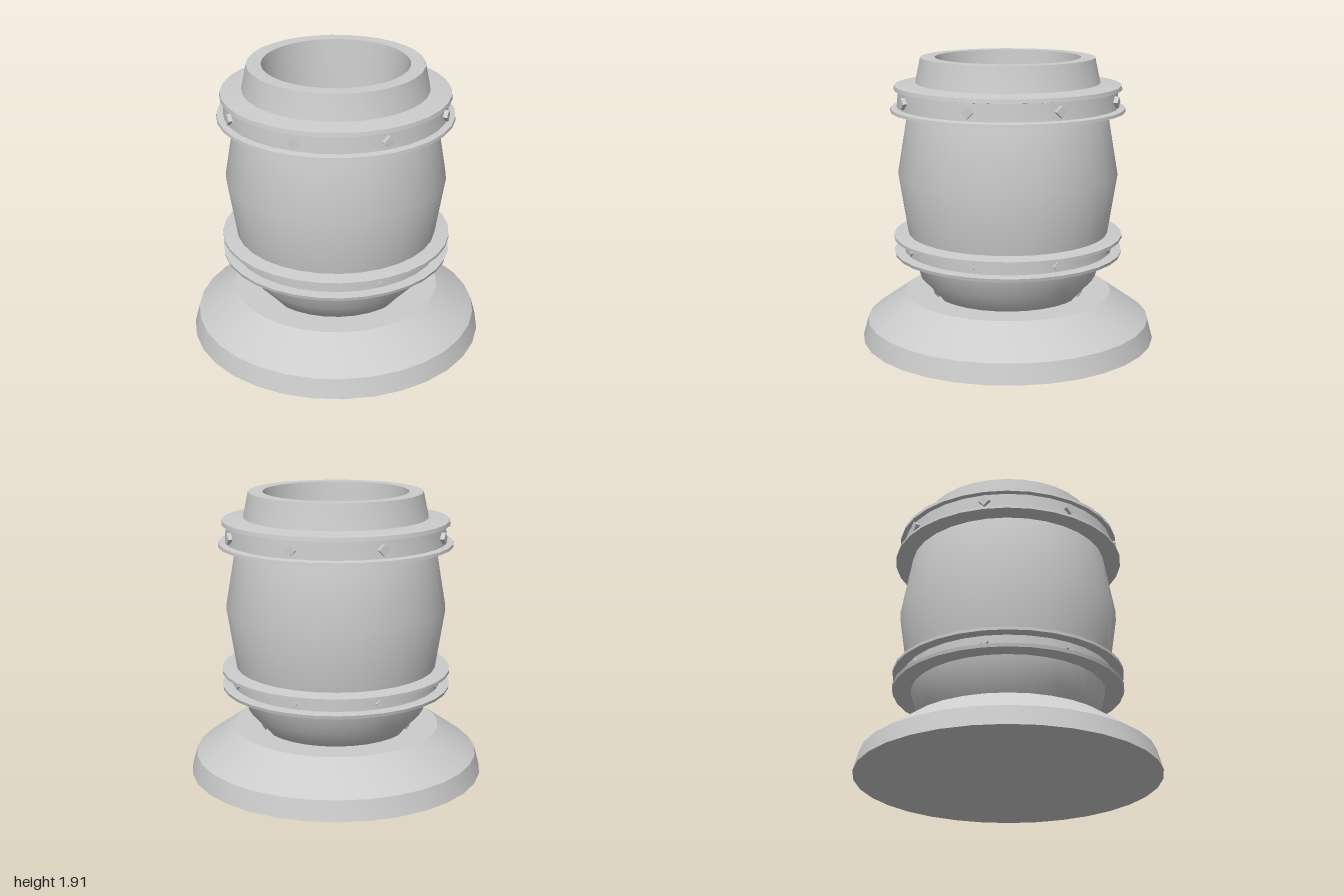
import * as THREE from 'three';
import { toCreasedNormals } from 'three/addons/utils/BufferGeometryUtils.js';

const SEGMENTS = 32;
const material = new THREE.MeshStandardMaterial({ color: 0xcccccc });

// Turned part from [radius, height] pairs, outer side listed bottom to top
function turned(name, profile) {
  const points = profile.map(([r, y]) => new THREE.Vector2(r, y));
  const geometry = toCreasedNormals(new THREE.LatheGeometry(points, SEGMENTS), 0.55);
  const mesh = new THREE.Mesh(geometry, material);
  mesh.name = name;
  return mesh;
}

// Ring of eight diamond-turned square studs
function studRing(name, y, radius, side, depth) {
  const ring = new THREE.Group();
  ring.name = name;
  const geometry = new THREE.BoxGeometry(side, side, depth);
  geometry.rotateZ(Math.PI / 4);
  geometry.translate(0, 0, radius - depth / 2);
  for (let i = 0; i < 8; i++) {
    const stud = new THREE.Mesh(geometry, material);
    stud.name = 'stud';
    stud.position.y = y;
    stud.rotation.y = (i * Math.PI) / 4;
    ring.add(stud);
  }
  return ring;
}

export function createModel() {
  const model = new THREE.Group();
  model.name = 'barrelVessel';

  // Wide foot with a shallow socket for the vessel
  model.add(turned('base', [
    [0, 0], [1, 0], [0.965, 0.13], [0.705, 0.315],
    [0.515, 0.315], [0.515, 0.2], [0, 0.2],
  ]));

  // Bulging hollow body, tapered neck and inner well
  model.add(turned('vessel', [
    [0, 0.19], [0.39, 0.19], [0.495, 0.315], [0.6, 0.43], [0.65, 0.6],
    [0.678, 0.735], [0.74, 1.14], [0.668, 1.56], [0.615, 1.75],
    [0.58, 1.915], [0.485, 1.915], [0.385, 0.8], [0, 0.8],
  ]));

  // Lower band: two flanges with a recessed strip between
  model.add(turned('lowerBand', [
    [0.63, 0.595], [0.77, 0.59], [0.775, 0.612], [0.705, 0.617],
    [0.705, 0.7], [0.775, 0.702], [0.775, 0.722], [0.66, 0.737],
  ]));
  model.add(studRing('lowerStuds', 0.655, 0.718, 0.037, 0.05));

  // Upper band, narrowing slightly towards the top
  model.add(turned('upperBand', [
    [0.65, 1.56], [0.785, 1.563], [0.782, 1.583], [0.74, 1.59],
    [0.73, 1.702], [0.76, 1.707], [0.755, 1.733], [0.6, 1.75],
  ]));
  model.add(studRing('upperStuds', 1.645, 0.76, 0.054, 0.06));

  return model;
}
